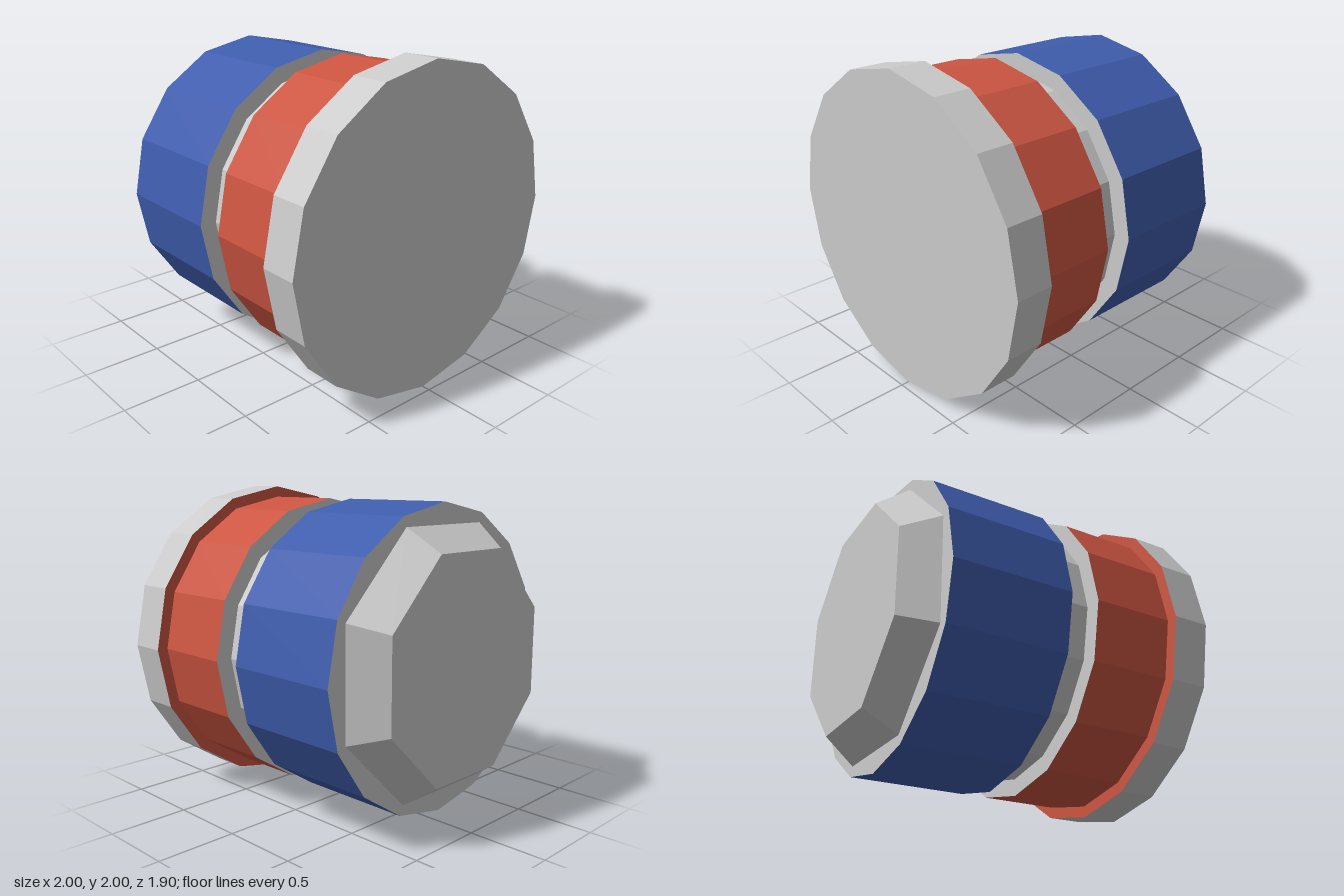
import * as THREE from 'three';

const grey = new THREE.MeshStandardMaterial({ color: 0xcccccc, flatShading: true });
const red = new THREE.MeshStandardMaterial({ color: 0xcc5541, flatShading: true });
const blue = new THREE.MeshStandardMaterial({ color: 0x3f5dae, flatShading: true });

export function createModel() {
  const model = new THREE.Group();

  const add = (name, geometry, material) => {
    const mesh = new THREE.Mesh(geometry, material);
    mesh.name = name;
    model.add(mesh);
  };

  // Open side wall along z, from front to back
  const wall = (name, front, back, rFront, rBack, material, sides = 16) => {
    const start = sides === 8 ? Math.PI / 8 : 0;
    const g = new THREE.CylinderGeometry(rFront, rBack, front - back, sides, 1, true, start);
    g.rotateX(Math.PI / 2).translate(0, 1, (front + back) / 2);
    add(name, g, material);
  };

  // Flat shoulder between two radii, facing front or back
  const shoulder = (name, z, inner, outer, facing, material) => {
    const g = new THREE.RingGeometry(inner, outer, 16);
    if (facing < 0) g.rotateY(Math.PI);
    add(name, g.translate(0, 1, z), material);
  };

  // Flat end disc
  const disc = (name, z, radius, sides, start, facing) => {
    const g = new THREE.CircleGeometry(radius, sides, start);
    if (facing < 0) g.rotateY(Math.PI);
    add(name, g.translate(0, 1, z), grey);
  };

  // Wide front flange
  disc('frontFace', 0.95, 1, 16, 0, 1);
  wall('frontFlange', 0.95, 0.71, 1, 1, grey);
  shoulder('flangeBack', 0.71, 0.93, 1, -1, red);

  // Red band
  wall('redBand', 0.71, 0.19, 0.93, 0.93, red);
  shoulder('redBandBack', 0.19, 0.825, 0.93, -1, grey);

  // Recessed neck
  wall('neck', 0.19, 0.01, 0.825, 0.825, grey);

  // Blue band
  shoulder('blueBandFront', 0.01, 0.825, 0.93, 1, grey);
  wall('blueBand', 0.01, -0.75, 0.93, 0.93, blue);
  disc('blueBandBack', -0.75, 0.93, 16, 0, -1);

  // Tapered octagonal back cap
  wall('backCap', -0.75, -0.95, 0.866, 0.717, grey, 8);
  disc('backFace', -0.95, 0.717, 8, Math.PI / 8, -1);

  return model;
}
